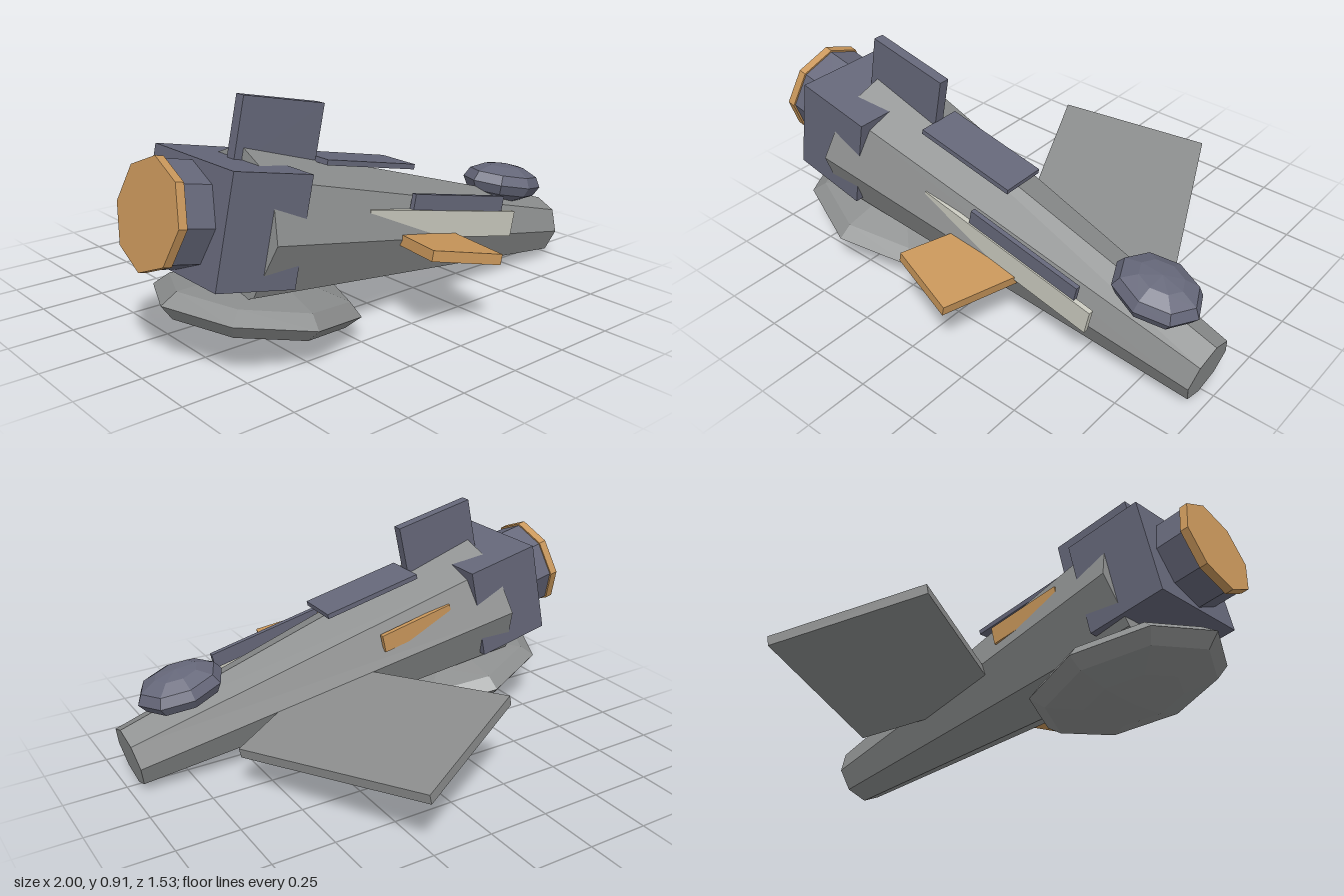
import * as THREE from 'three';

function material(name, color) {
  const m = new THREE.MeshStandardMaterial({ color });
  m.name = name;
  return m;
}

// Split shared vertices so every facet is flat
function faceted(geometry) {
  const g = geometry.toNonIndexed();
  g.computeVertexNormals();
  return g;
}

export function createModel() {
  const hullGrey = material('hull grey', 0x8b8d8d);
  const slate = material('slate', 0x656779);
  const copper = material('copper', 0xc8965a);
  const paleMetal = material('pale metal', 0xc9c9be);

  const model = new THREE.Group();
  model.name = 'crashedShip';

  // The ship's own frame: nose along +x, pitched down
  const ship = new THREE.Group();
  ship.name = 'ship';
  ship.position.set(0.16, 0.2975, 0.266);
  ship.rotation.z = -0.21;
  model.add(ship);

  function add(name, geometry, mat, x, y, z, yaw = 0) {
    const mesh = new THREE.Mesh(geometry, mat);
    mesh.name = name;
    mesh.position.set(x, y, z);
    mesh.rotation.y = yaw;
    ship.add(mesh);
    return mesh;
  }

  // Box given by its limits along x, y and z
  function box(name, mat, [x0, x1], [y0, y1], [z0, z1]) {
    add(name, new THREE.BoxGeometry(x1 - x0, y1 - y0, z1 - z0), mat,
      (x0 + x1) / 2, (y0 + y1) / 2, (z0 + z1) / 2);
  }

  // Eight-sided drum lying along x
  function drum(name, mat, [x0, x1], rBack, rFront, y) {
    const g = new THREE.CylinderGeometry(rFront, rBack, x1 - x0, 8).rotateZ(-Math.PI / 2);
    add(name, faceted(g), mat, (x0 + x1) / 2, y, 0);
  }

  // Low-poly ellipsoid
  function pod(name, mat, rx, ry, rz, x, y) {
    const g = new THREE.SphereGeometry(1, 8, 6).scale(rx, ry, rz);
    add(name, faceted(g), mat, x, y, 0);
  }

  // Fuselage, canopy and belly pod
  drum('hull', hullGrey, [-0.83, 0.83], 0.28, 0.123, 0);
  pod('canopy', slate, 0.178, 0.079, 0.148, 0.558, 0.188);
  pod('bellyPod', hullGrey, 0.4, 0.096, 0.345, -0.652, -0.2745);

  // Engine block, nozzle and exhaust plate
  box('engineBlock', slate, [-1.012, -0.688], [-0.163, 0.23], [-0.2335, 0.2335]);
  drum('engineNozzle', slate, [-1.122, -0.95], 0.185, 0.185, 0.035);
  drum('exhaustPlate', copper, [-1.154, -1.122], 0.193, 0.193, 0.035);

  // Tail fin and spine plate
  box('tailFin', slate, [-0.862, -0.508], [0.2, 0.447], [-0.021, 0.021]);
  box('spinePlate', slate, [-0.51, -0.075], [0.237, 0.257], [-0.089, 0.089]);

  // Whole wing on one side, broken stub on the other
  add('rightWing', new THREE.BoxGeometry(0.616, 0.04, 0.834), hullGrey, 0.0335, -0.02, -0.5275, 0.449);
  add('brokenWing', new THREE.BoxGeometry(0.294, 0.04, 0.45), copper, -0.062, -0.004, 0.2405, -0.24);

  // Side panels half sunk into the hull
  box('sidePanel', paleMetal, [-0.367, 0.429], [0.002, 0.104], [0.178, 0.198]);
  box('sideRail', slate, [-0.147, 0.353], [0.1, 0.163], [0.172, 0.192]);
  box('exposedPatch', copper, [-0.57, -0.235], [0.055, 0.13], [-0.212, -0.192]);

  return model;
}
